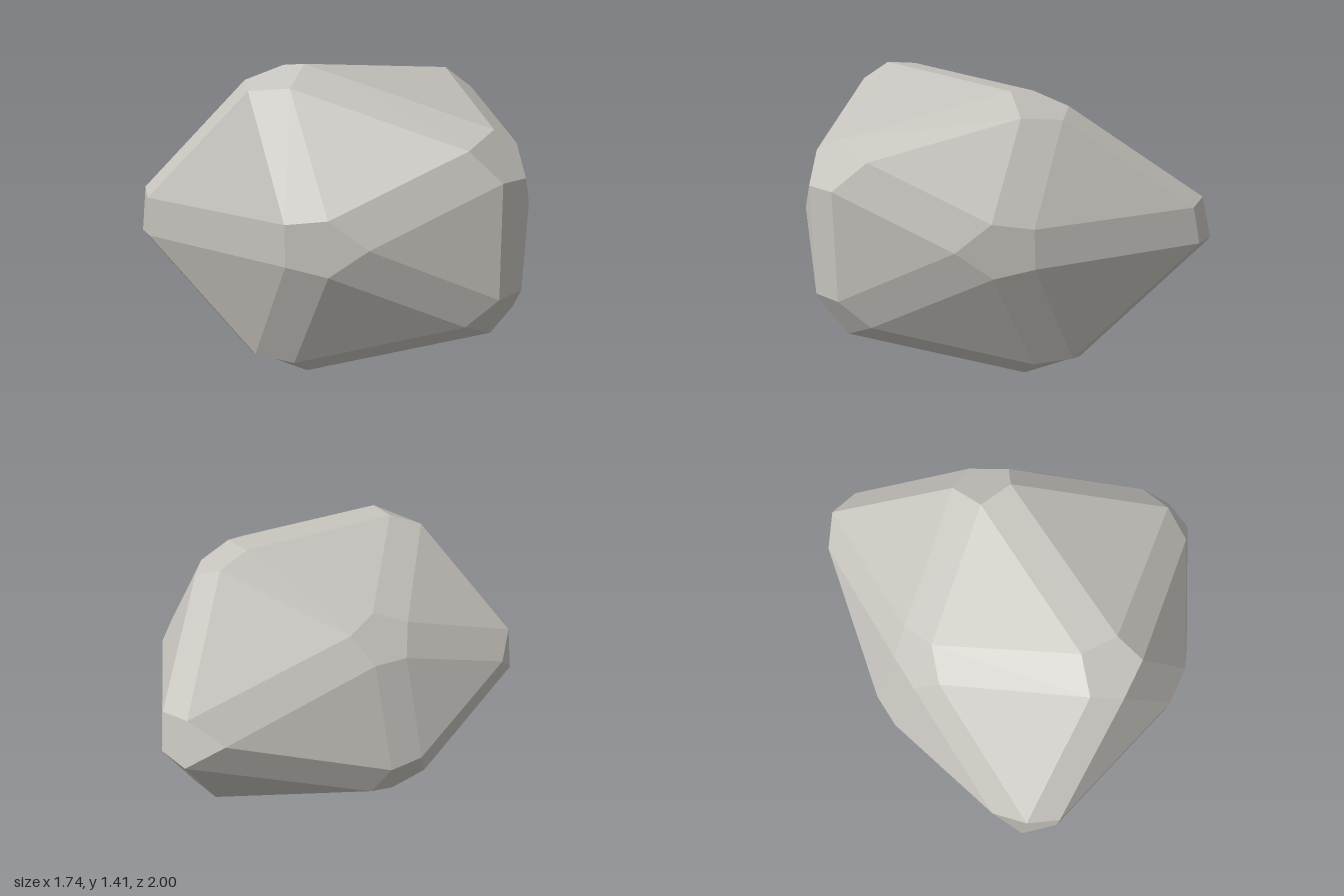
import * as THREE from 'three';

// Corners of a stretched icosahedron: front tip, ring around it, second ring, back tip
const front = [0.118, 0.72, 1.068];
const frontRing = [
  [-0.968, 0.72, 0.735], [-0.227, 1.444, 0.742], [0.867, 1.1, 0.662],
  [0.875, 0.328, 0.66], [-0.232, -0.023, 0.753],
];
const backRing = [
  [-0.482, 1.005, -0.163], [0.413, 1.348, -0.272], [0.837, 0.72, -0.162],
  [0.462, -0.037, -0.358], [-0.68, 0.305, -0.29],
];
const back = [0.115, 0.72, -1.148];
const BEVEL = 0.091;

// Outward area vector of a polygon
function areaVector(pts) {
  const sum = new THREE.Vector3();
  pts.forEach((p, i) => sum.add(p.clone().cross(pts[(i + 1) % pts.length])));
  return sum;
}

// Turns the polygon so that a fan from its first point folds the least
function flattestOrder(pts, normal) {
  let best = pts, bestFlatness = -Infinity;
  for (let s = 0; s < pts.length; s++) {
    const turned = [...pts.slice(s), ...pts.slice(0, s)];
    let flatness = Infinity;
    for (let i = 1; i < pts.length - 1; i++) {
      const n = areaVector([turned[0], turned[i], turned[i + 1]]).normalize();
      flatness = Math.min(flatness, n.dot(normal));
    }
    if (flatness > bestFlatness + 1e-6) {
      best = turned;
      bestFlatness = flatness;
    }
  }
  return best;
}

function bevelledRock() {
  const corners = [front, ...frontRing, ...backRing, back].map(p => new THREE.Vector3(...p));
  const faces = [];
  for (let i = 0; i < 5; i++) {
    const j = (i + 1) % 5;
    const a = 1 + i, b = 1 + j, c = 6 + i, d = 6 + j;
    faces.push([0, b, a], [a, b, c], [b, d, c], [11, c, d]);
  }

  // Each polygon is a fan with one shared flat normal
  const positions = [], normals = [];
  const polygon = points => {
    const n = areaVector(points).normalize();
    const pts = flattestOrder(points, n);
    for (let i = 1; i < pts.length - 1; i++) {
      for (const p of [pts[0], pts[i], pts[i + 1]]) {
        positions.push(p.x, p.y, p.z);
        normals.push(n.x, n.y, n.z);
      }
    }
  };

  // Main faces, each inset evenly from its edges; wedge 'p>q' leads to the face left of that edge
  const wedges = {};
  for (const face of faces) {
    const inset = face.map((p, k) => {
      const e1 = corners[face[(k + 1) % 3]].clone().sub(corners[p]).normalize();
      const e2 = corners[face[(k + 2) % 3]].clone().sub(corners[p]).normalize();
      const reach = BEVEL / Math.sin(e1.angleTo(e2));
      return corners[p].clone().addScaledVector(e1.add(e2), reach);
    });
    polygon(inset);
    face.forEach((p, k) => {
      const q = face[(k + 1) % 3], r = face[(k + 2) % 3];
      wedges[p + '>' + q] = { atP: inset[k], atQ: inset[(k + 1) % 3], third: r, p, q };
    });
  }

  // Bevel strips along the edges
  for (const w of Object.values(wedges)) {
    if (w.p > w.q) continue;
    const twin = wedges[w.q + '>' + w.p];
    polygon([w.atP, twin.atQ, twin.atP, w.atQ]);
  }

  // Five-sided caps on the corners
  corners.forEach((_, p) => {
    const cap = [];
    let w = Object.values(wedges).find(v => v.p === p);
    for (let i = 0; i < 5; i++) {
      cap.push(w.atP);
      w = wedges[p + '>' + w.third];
    }
    polygon(cap);
  });

  const geometry = new THREE.BufferGeometry();
  geometry.setAttribute('position', new THREE.Float32BufferAttribute(positions, 3));
  geometry.setAttribute('normal', new THREE.Float32BufferAttribute(normals, 3));
  return geometry;
}

export function createModel() {
  const stone = new THREE.MeshStandardMaterial({ color: 0xc5c2bc });
  stone.name = 'stone grey';
  const rock = new THREE.Mesh(bevelledRock(), stone);
  rock.name = 'rock';
  const model = new THREE.Group();
  model.name = 'boulder';
  model.add(rock);
  return model;
}
